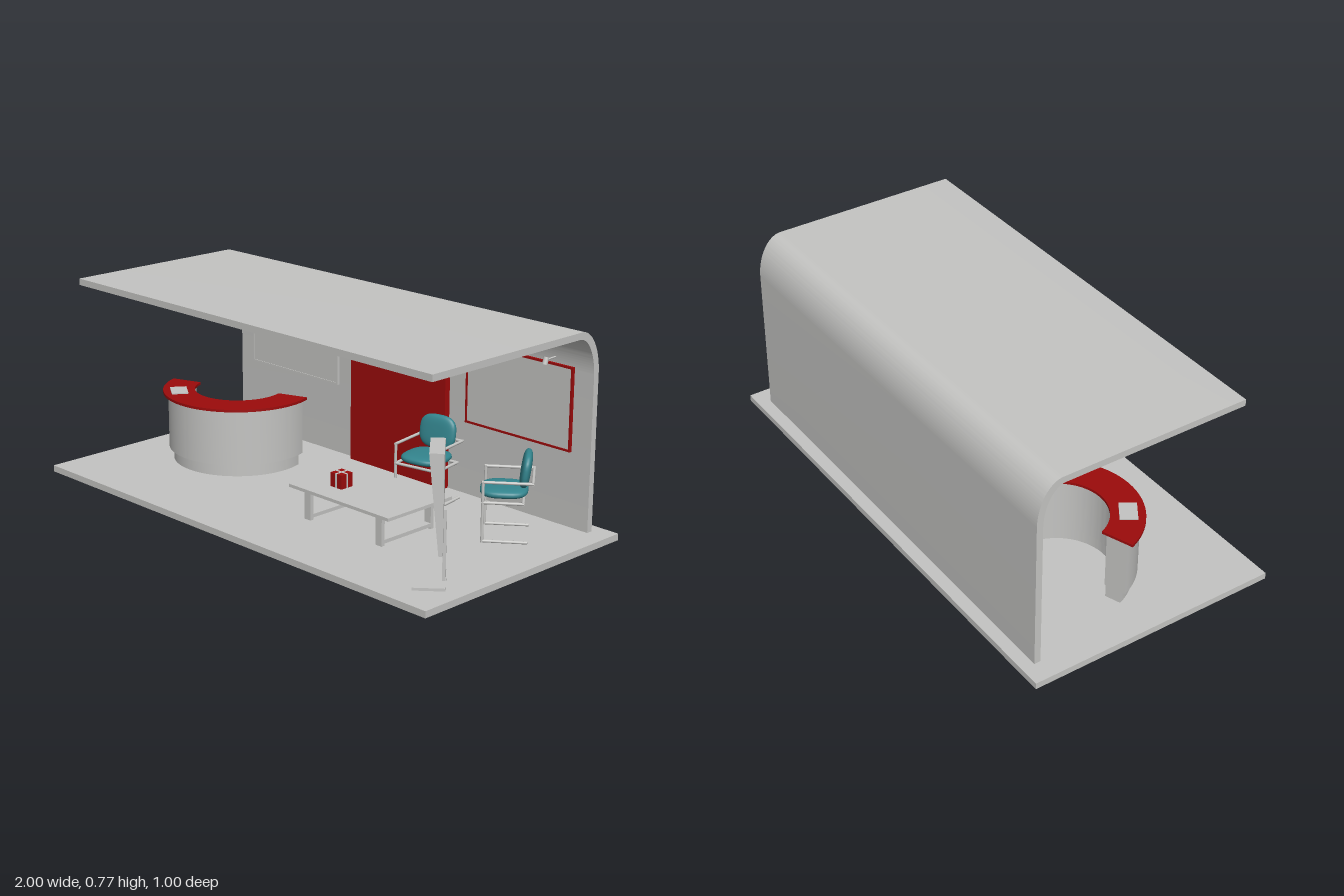
import * as THREE from 'three';
import { toCreasedNormals } from 'three/addons/utils/BufferGeometryUtils.js';

const mat = (name, color) => {
  const m = new THREE.MeshStandardMaterial({ color });
  m.name = name;
  return m;
};
const grey = mat('pale grey', 0xc4c4c2);
const red = mat('deep red', 0x9c0b0b);
const teal = mat('teal fabric', 0x33848d);

function add(parent, name, geometry, material, x = 0, y = 0, z = 0) {
  const mesh = new THREE.Mesh(geometry, material);
  mesh.name = name;
  mesh.position.set(x, y, z);
  parent.add(mesh);
  return mesh;
}

// box given by its minimum and maximum on each axis
function box(parent, name, material, x0, x1, y0, y1, z0, z1) {
  return add(parent, name, new THREE.BoxGeometry(x1 - x0, y1 - y0, z1 - z0), material,
    (x0 + x1) / 2, (y0 + y1) / 2, (z0 + z1) / 2);
}

function group(parent, name, x = 0, z = 0, turn = 0) {
  const g = new THREE.Group();
  g.name = name;
  g.position.set(x, 0, z);
  g.rotation.y = turn;
  parent.add(g);
  return g;
}

// round bar between two points
function bar(parent, name, a, b, r = 0.0055) {
  const from = new THREE.Vector3(...a), to = new THREE.Vector3(...b);
  const dir = to.clone().sub(from);
  const mesh = add(parent, name, new THREE.CylinderGeometry(r, r, dir.length() + r * 1.4, 12), grey);
  mesh.position.copy(from).add(to).multiplyScalar(0.5);
  mesh.quaternion.setFromUnitVectors(new THREE.Vector3(0, 1, 0), dir.normalize());
  return mesh;
}

// wall that bends over into a roof; outer and inner are {wall, bend, spring, top}
function canopy(outer, inner, tip, width) {
  const s = new THREE.Shape();
  s.moveTo(tip, outer.top);
  s.lineTo(tip, inner.top);
  s.lineTo(inner.bend, inner.top);
  s.absellipse(inner.bend, inner.spring, inner.wall - inner.bend, inner.top - inner.spring, Math.PI / 2, 0, true);
  s.lineTo(inner.wall, 0.025);
  s.lineTo(outer.wall, 0.025);
  s.lineTo(outer.wall, outer.spring);
  s.absellipse(outer.bend, outer.spring, outer.wall - outer.bend, outer.top - outer.spring, 0, Math.PI / 2, false);
  const g = new THREE.ExtrudeGeometry(s, { depth: width, bevelEnabled: false, curveSegments: 24 });
  g.translate(0, 0, -width / 2).rotateY(Math.PI / 2);
  return toCreasedNormals(g, 0.5);
}

// half ring lying flat between two heights
function halfRing(rIn, rOut, y0, y1) {
  const a = THREE.MathUtils.degToRad(-20), b = a + Math.PI;
  const s = new THREE.Shape();
  s.absarc(0, 0, rOut, a, b, false);
  s.absarc(0, 0, rIn, b, a, true);
  const g = new THREE.ExtrudeGeometry(s, { depth: y1 - y0, bevelEnabled: false, curveSegments: 40 });
  g.rotateX(Math.PI / 2).translate(0, y1, 0);
  return toCreasedNormals(g, 0.5);
}

// plump cushion: a sphere pushed towards a rounded square in its own plane
function cushion(w, h, t) {
  const g = new THREE.SphereGeometry(1, 32, 20);
  g.rotateX(Math.PI / 2);
  const p = g.attributes.position;
  const soft = (v, e) => Math.sign(v) * Math.abs(v) ** e;
  for (let i = 0; i < p.count; i++) {
    const x = p.getX(i), y = p.getY(i), z = p.getZ(i);
    const k = Math.hypot(x, y) || 1;
    const grow = k ** 0.55 / k;
    const square = (Math.abs(x / k) ** 3 + Math.abs(y / k) ** 3) ** (-1 / 3);
    p.setXYZ(i, x * grow * square * w / 2, y * grow * square * h / 2, soft(z, 0.8) * t / 2);
  }
  g.computeVertexNormals();
  return g;
}

function chair(parent, name, x, z, turn) {
  const c = group(parent, name, x, z, turn);
  const seat = add(c, 'seat', cushion(0.17, 0.17, 0.036), teal, 0, 0.197, 0);
  seat.rotation.x = -Math.PI / 2;
  const back = add(c, 'backrest', cushion(0.155, 0.128, 0.036), teal, 0, 0.276, -0.075);
  back.rotation.x = -0.14;
  for (const s of [-0.09, 0.09]) {
    bar(c, 'floorRail', [s, 0.031, 0.07], [s, 0.031, -0.085]);
    bar(c, 'frontLeg', [s, 0.031, 0.07], [s, 0.248, 0.07]);
    bar(c, 'armrest', [s, 0.248, 0.07], [s, 0.248, -0.102]);
    bar(c, 'seatRail', [s, 0.173, 0.07], [s, 0.173, -0.07]);
  }
  bar(c, 'backBar', [-0.09, 0.248, -0.102], [0.09, 0.248, -0.102]);
  for (const s of [0.07, -0.07]) bar(c, 'seatCrossBar', [-0.09, 0.173, s], [0.09, 0.173, s]);
}

// thin wall picture with a border
function picture(parent, name, x0, x1, border) {
  const g = group(parent, name);
  const y0 = 0.308, y1 = 0.62, b = 0.008, za = -0.426, zb = -0.414;
  box(g, 'panel', grey, x0 + b, x1 - b, y0 + b, y1 - b, za, -0.417);
  for (const y of [y0, y1 - b]) box(g, 'borderRail', border, x0, x1, y, y + b, za, zb);
  for (const x of [x0, x1 - b]) box(g, 'borderStile', border, x, x + b, y0 + b, y1 - b, za, zb);
}

export function createModel() {
  const model = new THREE.Group();
  model.name = 'exhibitionStand';

  // floor, shell and red band
  box(model, 'floor', grey, -1, 1, 0, 0.025, -0.5, 0.5);
  const outer = { wall: 0.45, bend: 0.35, spring: 0.61, top: 0.775 };
  const middle = { wall: 0.425, bend: 0.34, spring: 0.6, top: 0.75 };
  const inner = { wall: 0.4, bend: 0.32, spring: 0.59, top: 0.727 };
  add(model, 'wallAndRoof', canopy(outer, middle, -0.4, 1.84), grey);
  add(model, 'redBand', canopy(middle, inner, -0.14, 0.5), red);

  // ceiling downlights
  for (const [x, y, z] of [[-0.53, 0.749, 0.32], [0.53, 0.749, 0.32], [0, 0.726, 0]])
    add(model, 'downlight', new THREE.CylinderGeometry(0.02, 0.016, 0.005, 24), grey, x, y, z);

  // wall pictures and the spotlights over the right one
  picture(model, 'plainPicture', -0.84, -0.34, grey);
  picture(model, 'framedPicture', 0.338, 0.835, red);
  for (const x of [0.41, 0.59, 0.75]) {
    const lamp = group(model, 'spotlight', x, 0);
    bar(lamp, 'arm', [0, 0.642, -0.42], [0, 0.64, -0.37], 0.003);
    const head = add(lamp, 'head', new THREE.CylinderGeometry(0.01, 0.01, 0.027, 16), grey, 0, 0.637, -0.367);
    head.rotation.x = -0.35;
  }

  // curved reception counter
  const counter = group(model, 'counter', -0.59, -0.115);
  add(counter, 'plinth', halfRing(0.2, 0.262, 0.025, 0.075), grey);
  add(counter, 'body', halfRing(0.195, 0.28, 0.075, 0.295), grey);
  add(counter, 'worktop', halfRing(0.175, 0.3, 0.295, 0.305), red);
  const leaflet = add(counter, 'leaflet', new THREE.BoxGeometry(0.09, 0.005, 0.065), grey, -0.13, 0.307, 0.2);
  leaflet.rotation.y = -0.6;

  // low table on two loop legs
  const table = group(model, 'table');
  box(table, 'top', grey, 0.065, 0.565, 0.14, 0.152, -0.1, 0.225);
  for (const x of [0.12, 0.48]) {
    for (const y of [0.034, 0.127]) box(table, 'legRail', grey, x, x + 0.03, y, y + 0.014, -0.065, 0.2);
    for (const z of [-0.065, 0.185]) box(table, 'legPost', grey, x, x + 0.03, 0.026, 0.14, z, z + 0.015);
  }

  // gift box with ribbons
  const gift = group(model, 'gift', 0.215, 0.106);
  box(gift, 'giftBox', red, -0.028, 0.028, 0.152, 0.205, -0.028, 0.028);
  box(gift, 'ribbonAcross', grey, -0.029, 0.029, 0.152, 0.206, -0.004, 0.004);
  box(gift, 'ribbonAlong', grey, -0.004, 0.004, 0.152, 0.206, -0.029, 0.029);

  chair(model, 'middleChair', 0.29, -0.26, 0.17);
  chair(model, 'sideChair', 0.72, -0.2, -0.9);

  // wedge display on a post; its local z is the facing direction
  const display = group(model, 'display', 0.87, 0.278, -0.85);
  const side = new THREE.Shape([[0, 0.145], [0, 0.5], [-0.05, 0.5], [-0.014, 0.145]].map(([x, y]) => new THREE.Vector2(x, y)));
  const wedge = new THREE.ExtrudeGeometry(side, { depth: 0.168, bevelEnabled: false });
  wedge.translate(0, 0, -0.084).rotateY(Math.PI / 2);
  add(display, 'screen', wedge, grey);
  box(display, 'post', grey, -0.02, 0.02, 0.03, 0.285, -0.01, 0.002);
  box(display, 'foot', grey, -0.085, 0.085, 0.025, 0.035, -0.012, 0.1);

  return model;
}
